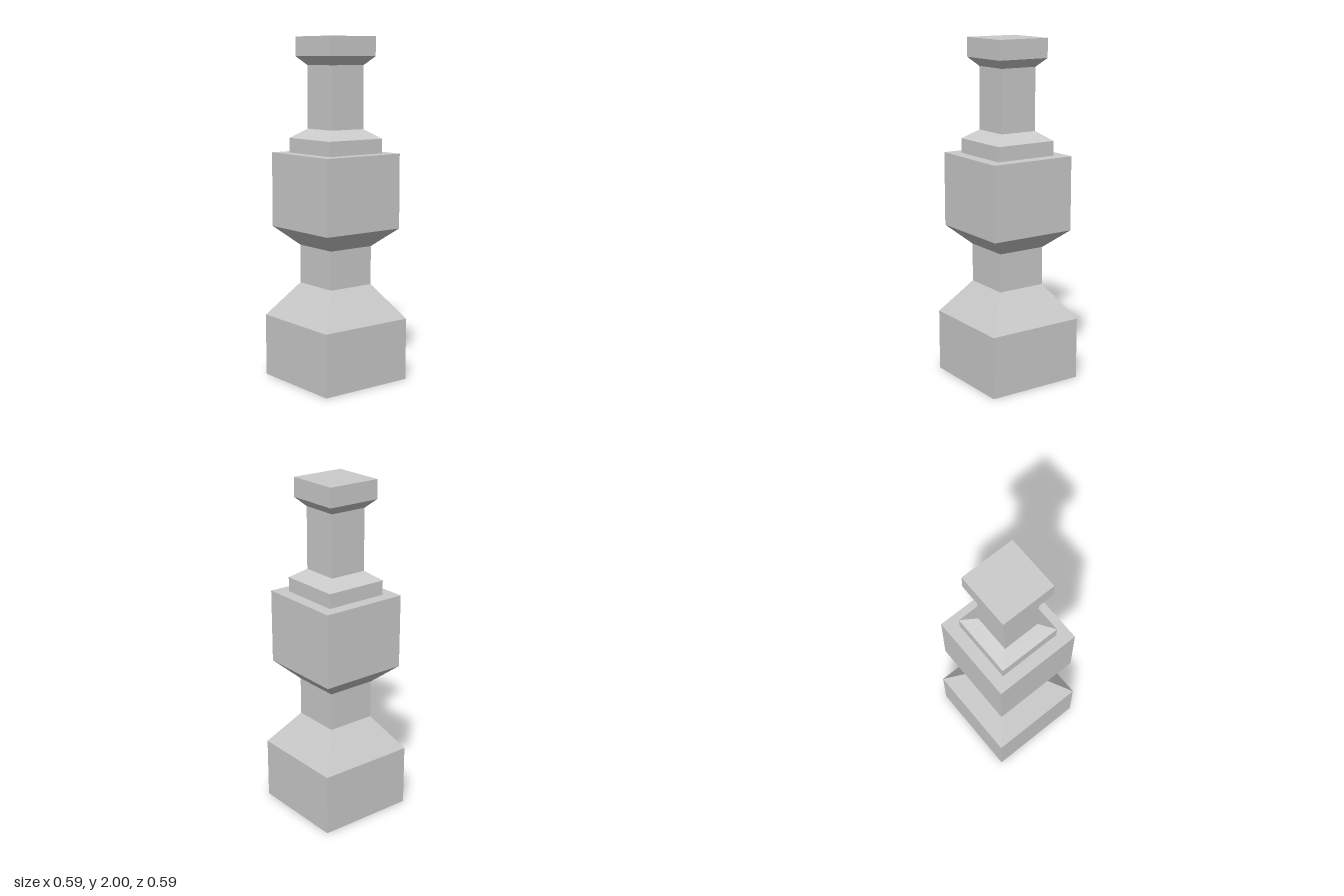
import * as THREE from 'three';

const material = new THREE.MeshStandardMaterial({ color: 0xcccccc, flatShading: true });

// Square turned section: profile is [half width, height] from bottom to top
function squareSection(name, profile) {
  const points = profile.map(([half, y]) => new THREE.Vector2(half * Math.SQRT2, y));
  const geometry = new THREE.LatheGeometry(points, 4, Math.PI / 4).toNonIndexed();
  geometry.computeVertexNormals();
  const mesh = new THREE.Mesh(geometry, material);
  mesh.name = name;
  return mesh;
}

export function createModel() {
  const group = new THREE.Group();
  group.name = 'squarePillar';
  group.add(
    // Plinth with closed underside and sloped shoulder
    squareSection('base', [[0, 0], [0.295, 0], [0.295, 0.365]]),
    squareSection('baseShoulder', [[0.295, 0.365], [0.147, 0.567]]),
    squareSection('lowerNeck', [[0.147, 0.567], [0.147, 0.793]]),
    // Large middle block, flared below and with a flat ledge on top
    squareSection('middleBlock', [[0.147, 0.793], [0.263, 0.9], [0.263, 1.335], [0.19, 1.335]]),
    // Stepped collar leading into the upper shaft
    squareSection('collar', [[0.19, 1.335], [0.19, 1.42], [0.114, 1.474]]),
    squareSection('upperShaft', [[0.114, 1.474], [0.114, 1.838]]),
    // Flared cap with closed top
    squareSection('cap', [[0.114, 1.838], [0.163, 1.888], [0.163, 2], [0, 2]])
  );
  return group;
}
